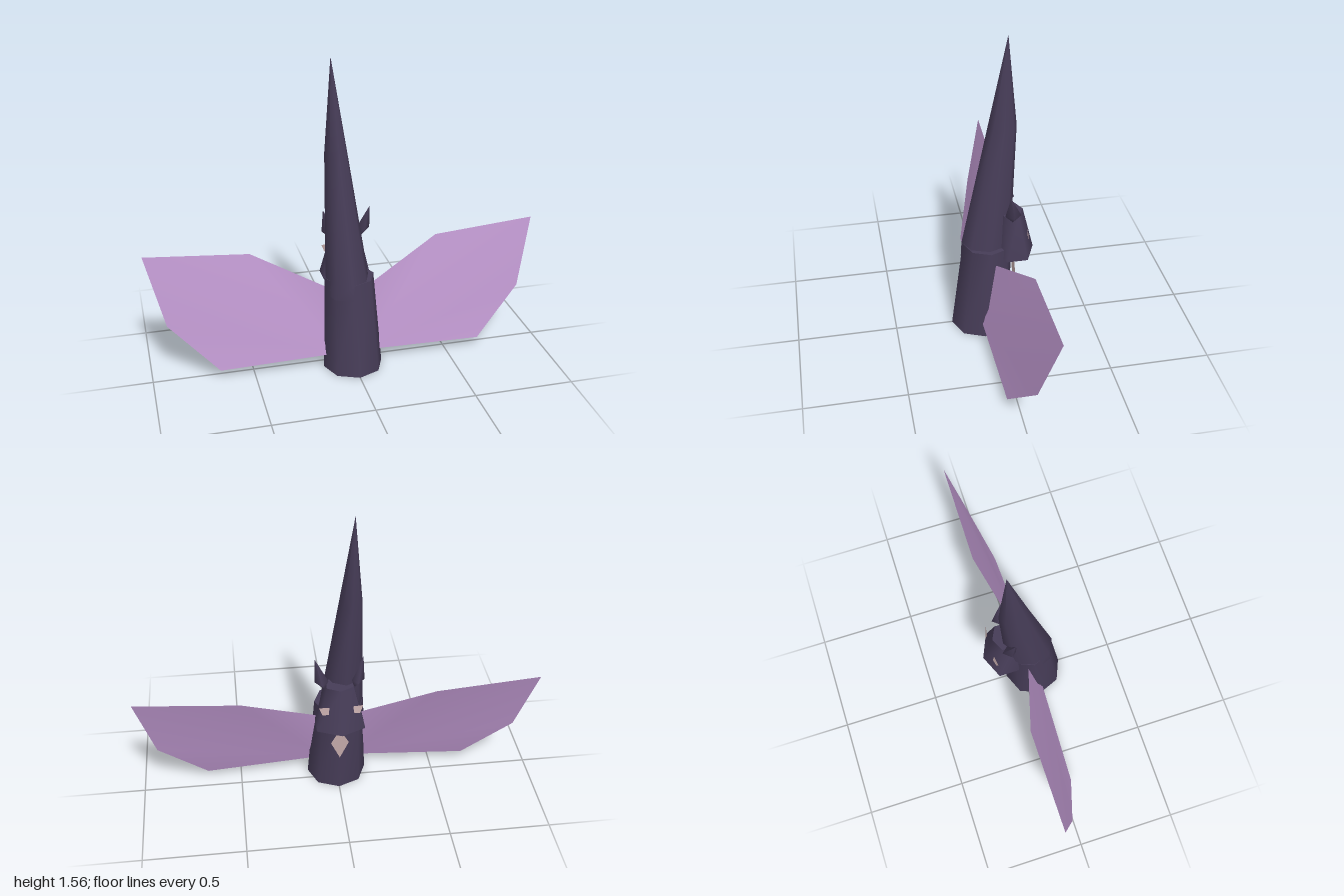
import * as THREE from 'three';

const mat = (name, color) => {
  const m = new THREE.MeshStandardMaterial({ color });
  m.name = name;
  return m;
};

// Skin rings [cx, y, cz, rx, rz] from bottom to top; a repeated ring makes a hard edge
function loft(rings, sides, turn = 0) {
  const pos = [], idx = [];
  rings.forEach(([cx, y, cz, rx, rz]) => {
    for (let i = 0; i < sides; i++) {
      const a = turn + (i / sides) * Math.PI * 2;
      pos.push(cx + Math.sin(a) * rx, y, cz + Math.cos(a) * rz);
    }
  });
  for (let r = 0; r < rings.length - 1; r++) {
    for (let i = 0; i < sides; i++) {
      const a = r * sides + i, b = r * sides + (i + 1) % sides;
      idx.push(a, b, b + sides, a, b + sides, a + sides);
    }
  }
  return surface(pos, idx);
}

function surface(pos, idx) {
  const g = new THREE.BufferGeometry();
  g.setAttribute('position', new THREE.Float32BufferAttribute(pos, 3));
  g.setIndex(idx);
  g.computeVertexNormals();
  return g;
}

// Flat fan of corner points, mirrored by side, kept facing the same way
function fan(points, side = 1) {
  const idx = [];
  for (let i = 1; i < points.length - 1; i++) {
    idx.push(0, ...(side > 0 ? [i, i + 1] : [i + 1, i]));
  }
  return surface(points.flatMap(([x, y, z]) => [x * side, y, z]), idx);
}

export function createModel() {
  const group = new THREE.Group();
  const fur = mat('darkPurple', 0x463c57);
  const membrane = mat('lilac', 0xbb95cb);
  const pale = mat('paleBeige', 0xc4aaaa);
  membrane.side = pale.side = THREE.DoubleSide;

  const add = (name, geometry, material) => {
    const m = new THREE.Mesh(geometry, material);
    m.name = name;
    group.add(m);
  };

  // Squat body with flat ends
  add('body', loft([
    [0, 0, 0.06, 0, 0], [0, 0, 0.06, 0.15, 0.15],
    [0, 0, 0.06, 0.15, 0.15], [-0.01, 0.48, 0.022, 0.124, 0.124],
    [-0.01, 0.48, 0.022, 0.124, 0.124], [-0.01, 0.48, 0.022, 0, 0],
  ], 8), fur);

  // Tall leaning spike
  add('spike', loft([
    [-0.022, 0.4, 0.03, 0.112, 0.125], [-0.022, 0.48, 0.025, 0.108, 0.125],
    [-0.055, 1.1, -0.06, 0.056, 0.071], [-0.07, 1.56, -0.09, 0, 0],
  ], 8), fur);

  // Tapered head, looking to the back
  add('head', loft([
    [0, 0.43, -0.107, 0, 0], [0, 0.43, -0.107, 0.138, 0.103],
    [0, 0.43, -0.107, 0.138, 0.103], [0, 0.66, -0.09, 0.075, 0.065],
    [0, 0.66, -0.09, 0.075, 0.065], [0, 0.66, -0.09, 0, 0],
  ], 6), fur);

  // Chest diamond
  add('chestPatch', fan([
    [0, 0.39, -0.112], [0.045, 0.31, -0.112], [0, 0.21, -0.108], [-0.045, 0.31, -0.112],
  ]), pale);

  for (const s of [1, -1]) {
    const label = s > 0 ? 'left' : 'right';
    add(label + 'Ear', loft([
      [s * 0.075, 0.635, -0.09, 0, 0], [s * 0.088, 0.68, -0.09, 0.034, 0.04],
      [s * 0.118, 0.8, -0.072, 0, 0],
    ], 4), fur);

    add(label + 'Eye', fan([
      [0.058, 0.575, -0.166], [0.108, 0.572, -0.158], [0.092, 0.532, -0.166], [0.062, 0.54, -0.174],
    ], s), pale);

    // Wing swept up and back
    add(label + 'Wing', fan([
      [0.06, 0.075, 0.075], [0.67, 0.05, 0.055], [0.91, 0.285, -0.03], [1, 0.63, -0.112],
      [0.48, 0.588, -0.112], [0.12, 0.415, -0.005], [0.06, 0.385, 0.015],
    ], s), membrane);
  }
  return group;
}
